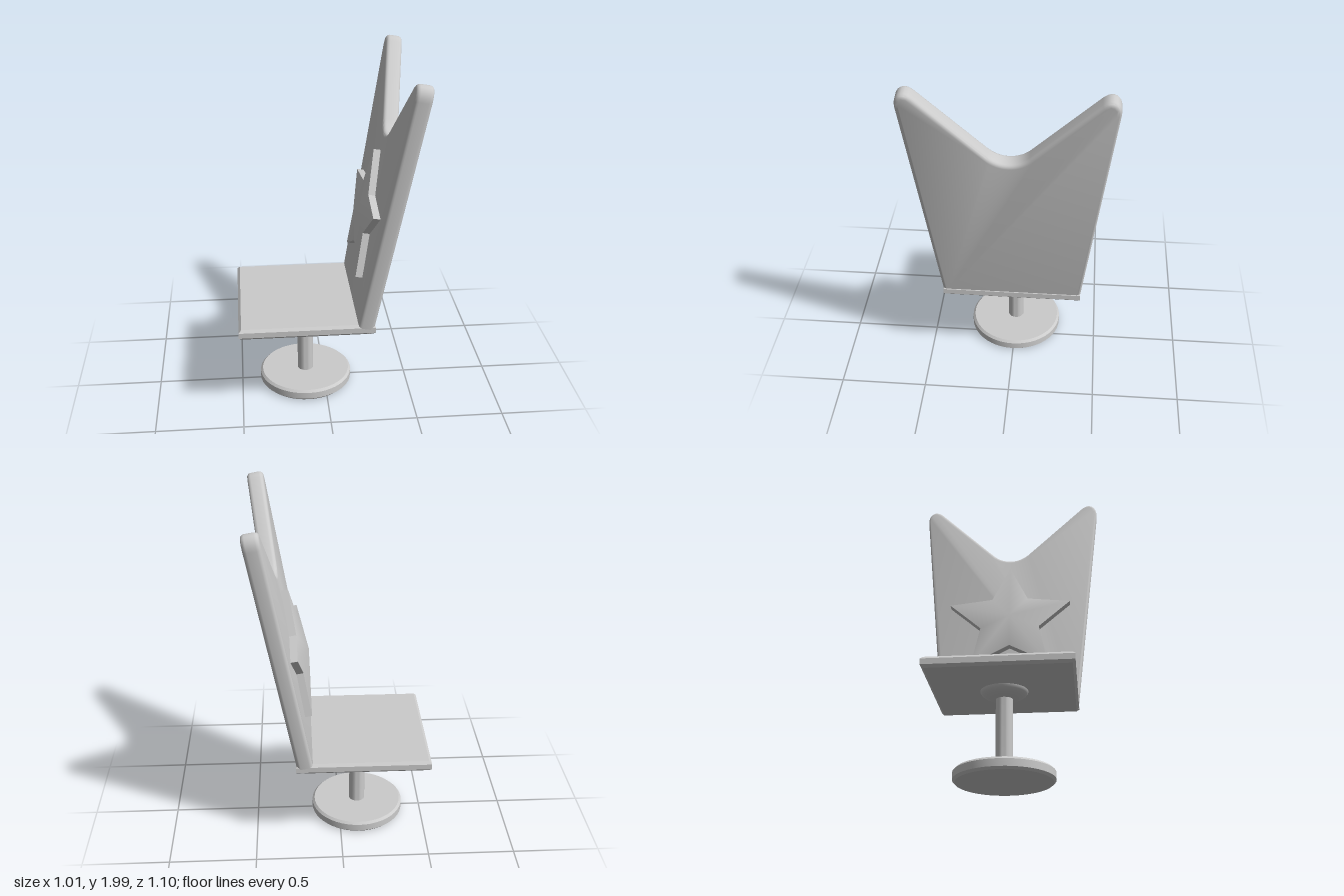
import * as THREE from 'three';
import { toCreasedNormals } from 'three/addons/utils/BufferGeometryUtils.js';

const material = new THREE.MeshStandardMaterial({ color: 0xcccccc });
const TILT = THREE.MathUtils.degToRad(9.9);
const BACK_THICKNESS = 0.094;
const PEDESTAL_X = -0.112;

function addMesh(parent, name, geometry, crease = 0.6) {
  const mesh = new THREE.Mesh(toCreasedNormals(geometry, crease), material);
  mesh.name = name;
  parent.add(mesh);
  return mesh;
}

// Extrusion whose bevel stays inside the outline and the given thickness
function bevelledSlab(shape, thickness, bevel, segments) {
  const geometry = new THREE.ExtrudeGeometry(shape, {
    depth: thickness - 2 * bevel, bevelEnabled: true, bevelSize: bevel,
    bevelThickness: bevel, bevelOffset: -bevel, bevelSegments: segments, curveSegments: 8,
  });
  return geometry.translate(0, 0, bevel);
}

function lathe(points) {
  return new THREE.LatheGeometry(points.map(([r, y]) => new THREE.Vector2(r, y)), 48);
}

// Two-pointed backrest outline, x sideways and y up along the slab
function backShape() {
  const s = new THREE.Shape();
  s.moveTo(-0.397, -0.01);
  s.lineTo(0.397, -0.01);
  s.lineTo(0.552, 1.4);
  s.bezierCurveTo(0.56, 1.465, 0.51, 1.51, 0.458, 1.458);
  s.lineTo(0.11, 1.095);
  s.quadraticCurveTo(0.06, 1.045, 0, 1.045);
  s.quadraticCurveTo(-0.06, 1.045, -0.11, 1.095);
  s.lineTo(-0.458, 1.458);
  s.bezierCurveTo(-0.51, 1.51, -0.56, 1.465, -0.552, 1.4);
  s.closePath();
  return s;
}

// Five-pointed star with upright rim and a raised centre, facing +z
function starGeometry(outer, inner, rim, peak) {
  const ring = [];
  for (let i = 0; i < 10; i++) {
    const a = Math.PI / 2 + (i * Math.PI) / 5;
    const r = i % 2 ? inner : outer;
    ring.push([r * Math.cos(a), r * Math.sin(a)]);
  }
  const positions = [];
  ring.forEach((p, i) => {
    const q = ring[(i + 1) % 10];
    positions.push(0, 0, peak, ...p, rim, ...q, rim);
    positions.push(...p, 0, ...q, 0, ...q, rim);
    positions.push(...p, 0, ...q, rim, ...p, rim);
  });
  const geometry = new THREE.BufferGeometry();
  geometry.setAttribute('position', new THREE.Float32BufferAttribute(positions, 3));
  geometry.computeVertexNormals();
  return geometry;
}

export function createModel() {
  const model = new THREE.Group();
  model.name = 'chair';

  // Pedestal: round foot, post and domed mount
  const pedestal = new THREE.Group();
  pedestal.name = 'pedestal';
  pedestal.position.x = PEDESTAL_X;
  model.add(pedestal);
  addMesh(pedestal, 'foot', lathe([
    [0, 0], [0.262, 0], [0.275, 0.013], [0.275, 0.053], [0.262, 0.066], [0, 0.066],
  ]), 0.5);
  addMesh(pedestal, 'post', new THREE.CylinderGeometry(0.047, 0.047, 0.45, 32).translate(0, 0.28, 0));
  const dome = [];
  for (let i = 0; i <= 8; i++) {
    const a = (i / 8) * Math.PI / 2;
    dome.push([0.133 * Math.sin(a), 0.515 - 0.055 * Math.cos(a)]);
  }
  addMesh(pedestal, 'seatMount', lathe(dome));

  // Seat: flat slab with chamfered rims
  const plan = new THREE.Shape([[-0.51, -0.4], [0.26, -0.4], [0.26, 0.4], [-0.51, 0.4]]
    .map(([x, y]) => new THREE.Vector2(x, y)));
  addMesh(model, 'seat', bevelledSlab(plan, 0.062, 0.015, 1).rotateX(-Math.PI / 2).translate(0, 0.51, 0));

  // Reclined backrest carrying the star
  const backrest = new THREE.Group();
  backrest.name = 'backrest';
  backrest.position.set(0.158, 0.54, 0);
  backrest.rotation.z = -TILT;
  model.add(backrest);
  addMesh(backrest, 'backPanel', bevelledSlab(backShape(), BACK_THICKNESS, 0.022, 4).rotateY(Math.PI / 2));
  addMesh(backrest, 'star', starGeometry(0.384, 0.185, 0.04, 0.085)
    .rotateY(-Math.PI / 2).translate(0, 0.56, 0));

  return model;
}
